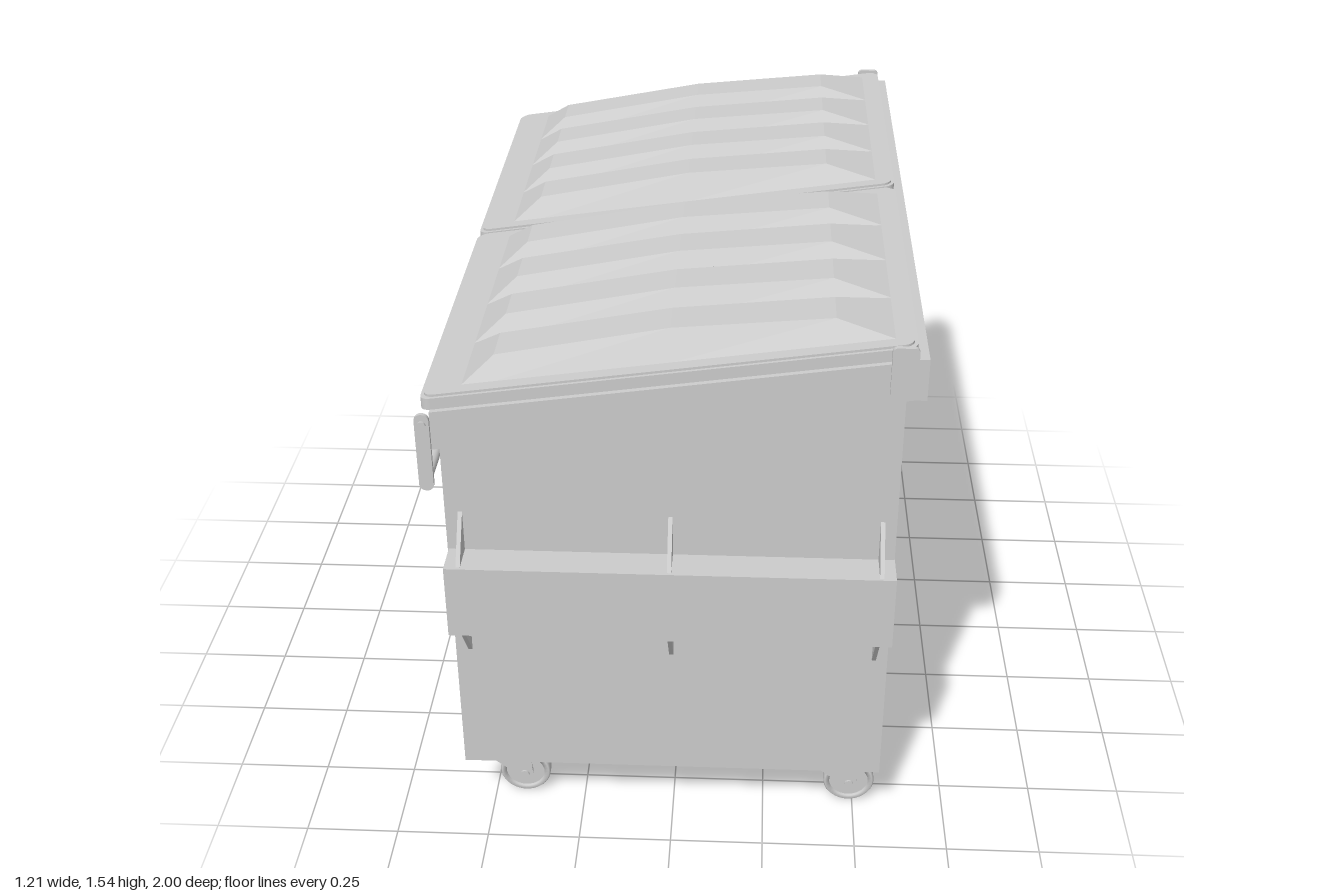
import * as THREE from 'three';

const mat = new THREE.MeshStandardMaterial({ color: 0xcccccc, side: THREE.DoubleSide });
const SLOPE = 0.144; // the rim and lids rise towards +x

function add(parent, name, geometry, x = 0, y = 0, z = 0) {
  const mesh = new THREE.Mesh(geometry, mat);
  mesh.name = name;
  mesh.position.set(x, y, z);
  parent.add(mesh);
  return mesh;
}

const box = (w, h, d) => new THREE.BoxGeometry(w, h, d);

// Extrude an outline along z, centred on z = 0
function slab(points, depth) {
  const shape = Array.isArray(points) ? new THREE.Shape(points.map(p => new THREE.Vector2(...p))) : points;
  return new THREE.ExtrudeGeometry(shape, { depth, bevelEnabled: false, curveSegments: 8 }).translate(0, 0, -depth / 2);
}

function roundedRect(x0, y0, x1, y1, r) {
  const s = new THREE.Shape();
  s.absarc(x1 - r, y1 - r, r, 0, Math.PI / 2);
  s.absarc(x0 + r, y1 - r, r, Math.PI / 2, Math.PI);
  s.absarc(x0 + r, y0 + r, r, Math.PI, Math.PI * 1.5);
  s.absarc(x1 - r, y0 + r, r, Math.PI * 1.5, Math.PI * 2);
  s.closePath();
  return s;
}

// Lean a geometry along the rim slope
function shear(geometry) {
  const p = geometry.attributes.position;
  for (let i = 0; i < p.count; i++) p.setY(i, p.getY(i) + SLOPE * p.getX(i));
  geometry.computeVertexNormals();
  return geometry;
}

// Faceted ridge: stations of [x, height, half width of the top]
function ridge() {
  const base = 0.107;
  const stations = [[-0.5, 0, base], [-0.425, 0.047, 0.056], [0, 0.066, 0.053], [0.39, 0.046, 0.056], [0.53, 0, base]];
  const pos = [], index = [];
  stations.forEach(([x, h, t], i) => {
    pos.push(x, 0, -base, x, h, -t, x, h, t, x, 0, base);
    if (i === 0) return;
    for (let j = 0; j < 3; j++) {
      const a = (i - 1) * 4 + j, c = a + 4;
      index.push(a, a + 1, c, a + 1, c + 1, c);
    }
  });
  const g = new THREE.BufferGeometry();
  g.setAttribute('position', new THREE.Float32BufferAttribute(pos, 3));
  g.setIndex(index);
  return shear(g.toNonIndexed());
}

function createLid() {
  const lid = new THREE.Group();
  lid.name = 'lid';
  // panel with rounded corners, a narrower step on top
  const panel = (inset, y, h) => {
    const g = slab(roundedRect(-0.595 + inset, -0.475 + inset, 0.578 - inset, 0.475 - inset, 0.025), h);
    return shear(g.rotateX(-Math.PI / 2).translate(0, y, 0));
  };
  add(lid, 'lidPanel', panel(0, 1.414, 0.03));
  add(lid, 'lidTop', panel(0.008, 1.431, 0.008));
  for (let i = 0; i < 4; i++) add(lid, 'lidRidge', ridge(), 0, 1.434, (i - 1.5) * 0.217);
  return lid;
}

function createCaster() {
  const caster = new THREE.Group();
  caster.name = 'caster';
  const axle = (r, w) => new THREE.CylinderGeometry(r, r, w, 32).rotateX(Math.PI / 2);
  add(caster, 'mountPlate', new THREE.CylinderGeometry(0.08, 0.08, 0.008, 32), 0, 0.181);
  add(caster, 'swivel', new THREE.CylinderGeometry(0.022, 0.022, 0.02, 24), 0, 0.17);
  add(caster, 'forkTop', box(0.1, 0.006, 0.056), 0.005, 0.162);
  const side = [[-0.045, 0.165], [0.055, 0.165], [0.057, 0.085], [0.05, 0.06], [0.035, 0.055], [0.02, 0.062], [-0.045, 0.115]];
  for (const s of [-1, 1]) add(caster, 'forkSide', slab(side, 0.006), 0, 0, s * 0.026);
  // wheel: tyre with recessed side faces and a hub
  const h = 0.019;
  const tyre = [[0.054, -h], [0.066, -h], [0.07, -0.013], [0.07, 0.013], [0.066, h], [0.054, h], [0.054, -h]];
  const tyreGeo = new THREE.LatheGeometry(tyre.map(p => new THREE.Vector2(...p)), 36).rotateX(Math.PI / 2);
  add(caster, 'tyre', tyreGeo, 0.036, 0.07);
  add(caster, 'wheelDisc', axle(0.055, 0.024), 0.036, 0.07);
  add(caster, 'hub', axle(0.022, 0.044), 0.036, 0.07);
  add(caster, 'axle', axle(0.012, 0.068), 0.036, 0.07);
  return caster;
}

function createPocket() {
  const pocket = new THREE.Group();
  pocket.name = 'liftPocket';
  // open sleeve
  add(pocket, 'pocketFace', box(1.125, 0.205, 0.008), 0, 0.782, 0.996);
  add(pocket, 'pocketBack', box(1.125, 0.205, 0.006), 0, 0.782, 0.911);
  for (const y of [0.683, 0.881]) add(pocket, 'pocketPlate', box(1.125, 0.007, 0.086), 0, y, 0.953);
  // gussets above and below
  for (const x of [-0.527, 0, 0.527]) {
    for (const s of [-1, 1]) {
      const tri = [[0.908, 0.1], [0.994, 0.1], [0.908, 0.218]].map(([z, y]) => [-z, 0.782 + s * y]);
      add(pocket, 'gusset', slab(tri, 0.011).rotateY(Math.PI / 2), x);
    }
  }
  return pocket;
}

export function createModel() {
  const model = new THREE.Group();
  model.name = 'wasteContainer';

  // Hull with two horizontal ribs pressed into the low side
  const topAt = x => 1.4 + SLOPE * x;
  const inner = -0.525, outer = -0.563;
  const hull = [[inner, 0.185], [0.562, 0.185], [0.562, topAt(0.562)], [inner, topAt(inner)]];
  for (const y of [0.83, 0.49]) {
    hull.push([inner, y + 0.045], [outer, y + 0.015], [outer, y - 0.015], [inner, y - 0.045]);
  }
  add(model, 'hull', slab(hull, 1.8));
  const end = [[-0.565, 0.185], [0.562, 0.185], [0.562, topAt(0.562)], [-0.565, topAt(-0.565)]];
  for (const s of [-1, 1]) add(model, 'endWall', slab(end, 0.03), 0, 0, s * 0.895);

  // Sloping rim and the hinge beam on the high side
  const rimAt = (x, y) => [x, y + SLOPE * x];
  add(model, 'rim', slab([rimAt(-0.572, 1.293), rimAt(0.562, 1.293), rimAt(0.562, 1.396), rimAt(-0.572, 1.396)], 1.93));
  add(model, 'hingeBeam', box(0.045, 0.108, 1.93), 0.5825, 1.43);

  for (const s of [-1, 1]) {
    const lid = createLid();
    lid.position.z = s * 0.482;
    model.add(lid);

    // end plates for the hinge and for the low side rail
    add(model, 'hingePlate', slab(roundedRect(0.517, 1.38, 0.58, 1.517, 0.012), 0.012), 0, 0, s * 0.968);
    add(model, 'railBracket', slab(roundedRect(-0.608, 1.1, -0.572, 1.312, 0.017), 0.01), 0, 0, s * 0.97);
    add(model, 'bracketBolt', new THREE.CylinderGeometry(0.01, 0.01, 0.02, 16).rotateX(Math.PI / 2), -0.59, 1.285, s * 0.97);

    const pocket = createPocket();
    if (s < 0) pocket.rotation.y = Math.PI;
    model.add(pocket);

    for (const x of [-0.453, 0.452]) {
      const caster = createCaster();
      caster.position.set(x, 0, s * 0.8);
      model.add(caster);
    }
  }
  add(model, 'rail', new THREE.CylinderGeometry(0.014, 0.014, 1.95, 20).rotateX(Math.PI / 2), -0.59, 1.13);

  return model;
}
